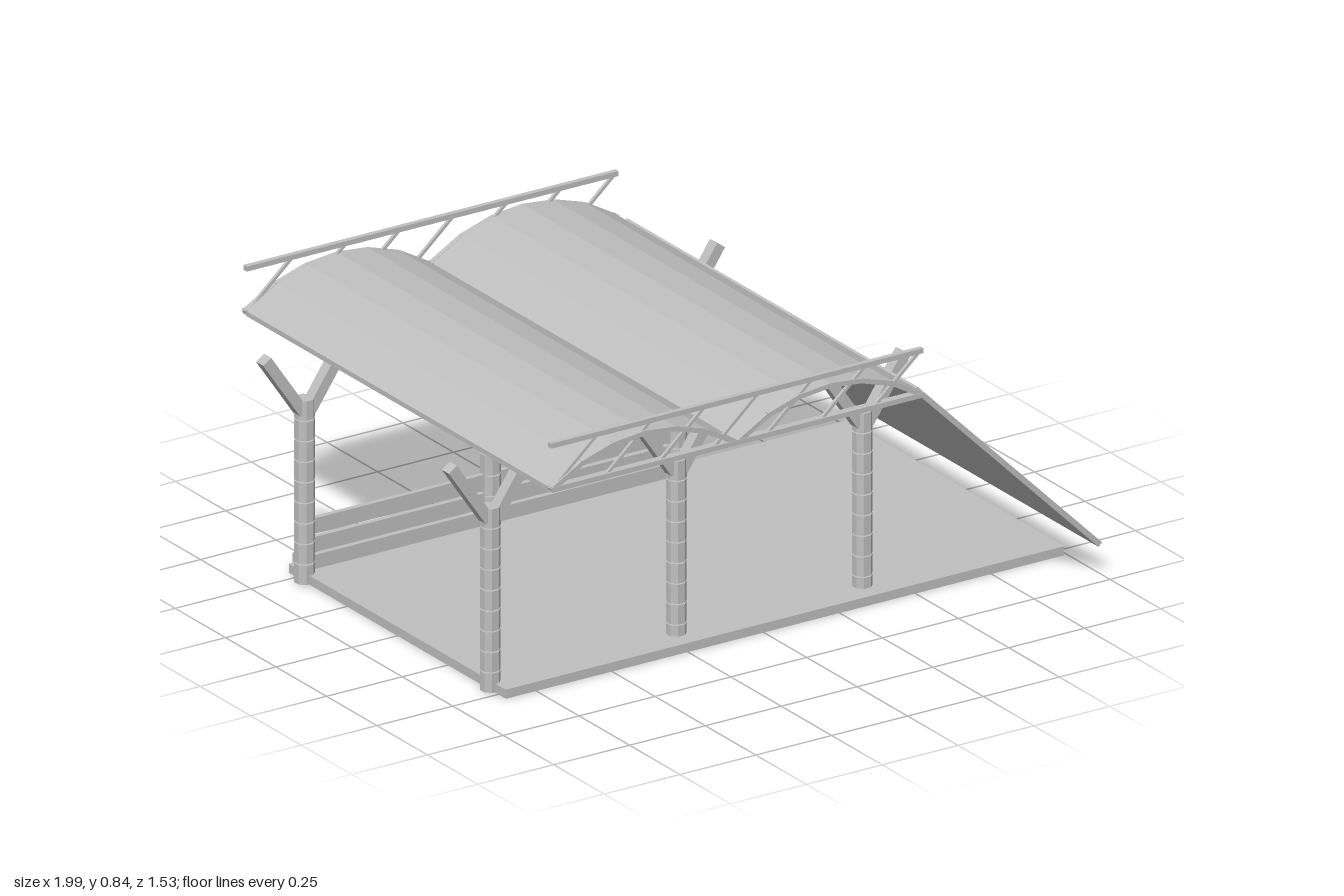
import * as THREE from 'three';

export function createModel() {
  const root = new THREE.Group();
  root.name = 'shelter';
  const grey = new THREE.MeshStandardMaterial({ color: 0xbfbfbf });
  grey.name = 'plain grey';

  const add = (parent, name, geometry, x = 0, y = 0, z = 0) => {
    const mesh = new THREE.Mesh(geometry, grey);
    mesh.name = name;
    mesh.position.set(x, y, z);
    parent.add(mesh);
    return mesh;
  };
  const box = (parent, name, w, h, d, x, y, z) =>
    add(parent, name, new THREE.BoxGeometry(w, h, d), x, y, z);
  // Beam in the x-y plane between two points
  const beam = (parent, name, x1, y1, x2, y2, z, thick, depth) => {
    const length = Math.hypot(x2 - x1, y2 - y1);
    const m = box(parent, name, length, thick, depth, (x1 + x2) / 2, (y1 + y2) / 2, z);
    m.rotation.z = Math.atan2(y2 - y1, x2 - x1);
    return m;
  };

  const postX = [-0.85, -0.237, 0.376];

  // Floor slab
  box(root, 'floorSlab', 1.84, 0.027, 1.075, 0.07, 0.0135, 0);

  // Posts of stacked octagonal rings, each with a forked top
  const rings = 9, pitch = 0.55 / rings;
  const ringGeo = new THREE.CylinderGeometry(0.029, 0.029, pitch - 0.004, 8).toNonIndexed();
  ringGeo.rotateY(Math.PI / 8);
  ringGeo.computeVertexNormals();
  for (const x of postX) {
    for (const z of [-0.46, 0.46]) {
      const post = new THREE.Group();
      post.name = 'post';
      post.position.set(x, 0, z);
      root.add(post);
      for (let i = 0; i < rings; i++) add(post, 'postRing', ringGeo, 0, pitch * (i + 0.5), 0);
      for (const s of [-1, 1])
        beam(post, 'forkBranch', s * 0.012, 0.512, s * 0.135, 0.692, 0, 0.032, 0.036);
    }
  }

  // Low rail boards between the back posts
  for (const [y, h] of [[0.055, 0.042], [0.107, 0.045], [0.162, 0.046]])
    box(root, 'railBoard', postX[2] - postX[0], h, 0.016, (postX[0] + postX[2]) / 2, y, -0.46);

  // Edging stones along the back, four to a bay
  for (let bay = 0; bay < 2; bay++) {
    for (let i = 0; i < 4; i++) {
      const h = i % 2 ? 0.036 : 0.042;
      box(root, 'edgingStone', 0.13, h, 0.075,
        postX[bay] + 0.095 + i * 0.137, h / 2 + 0.002, -0.5275 + (i % 2 ? 0.006 : 0));
    }
  }

  // Roof: two shallow vaults of six flat strips each
  const span = 0.613, rise = 0.1, facets = 6;
  const radius = (span * span / 4 + rise * rise) / (2 * rise);
  const arch = (x) => Math.sqrt(radius * radius - x * x) - radius + rise;
  for (let bay = 0; bay < 2; bay++) {
    const upper = [], lower = [];
    for (let i = 0; i <= facets; i++) {
      const x = (i / facets - 0.5) * span;
      const y = 0.705 + arch(x);
      upper.push(new THREE.Vector2(x, y));
      lower.unshift(new THREE.Vector2(x, y - 0.015));
    }
    const geo = new THREE.ExtrudeGeometry(new THREE.Shape([...lower, ...upper]),
      { depth: 1.5, bevelEnabled: false });
    add(root, 'roofVault', geo, postX[bay] + span / 2, 0, -0.75);
  }

  // Trusses at both ends of the roof
  const middle = (postX[0] + postX[2]) / 2, railLength = postX[2] - postX[0];
  for (const s of [-1, 1]) {
    const truss = new THREE.Group();
    truss.name = 'truss';
    root.add(truss);
    const z = s * 0.755;
    box(truss, 'topRail', railLength, 0.015, 0.016, middle, 0.83, z);
    box(truss, 'bottomRail', railLength, 0.015, 0.024, middle, 0.7, z);
    for (let i = 0; i < 7; i++) {
      const x = -0.84 + i * 0.177;
      beam(truss, 'diagonal', x, 0.702, x + 0.145, 0.828, z, 0.009, 0.009);
    }
    // Curved chords that close the vault ends
    for (let bay = 0; bay < 2; bay++) {
      for (let i = 0; i < facets; i++) {
        const xa = (i / facets - 0.5) * span, xb = ((i + 1) / facets - 0.5) * span;
        const cx = postX[bay] + span / 2;
        beam(truss, 'curvedChord', cx + xa, 0.698 + arch(xa), cx + xb, 0.698 + arch(xb),
          s * 0.757, 0.014, 0.016);
      }
    }
  }

  // Sloping side panel
  beam(root, 'slopingPanel', 0.38, 0.7, 0.988, 0.096, 0, 0.016, 1.44);

  return root;
}
